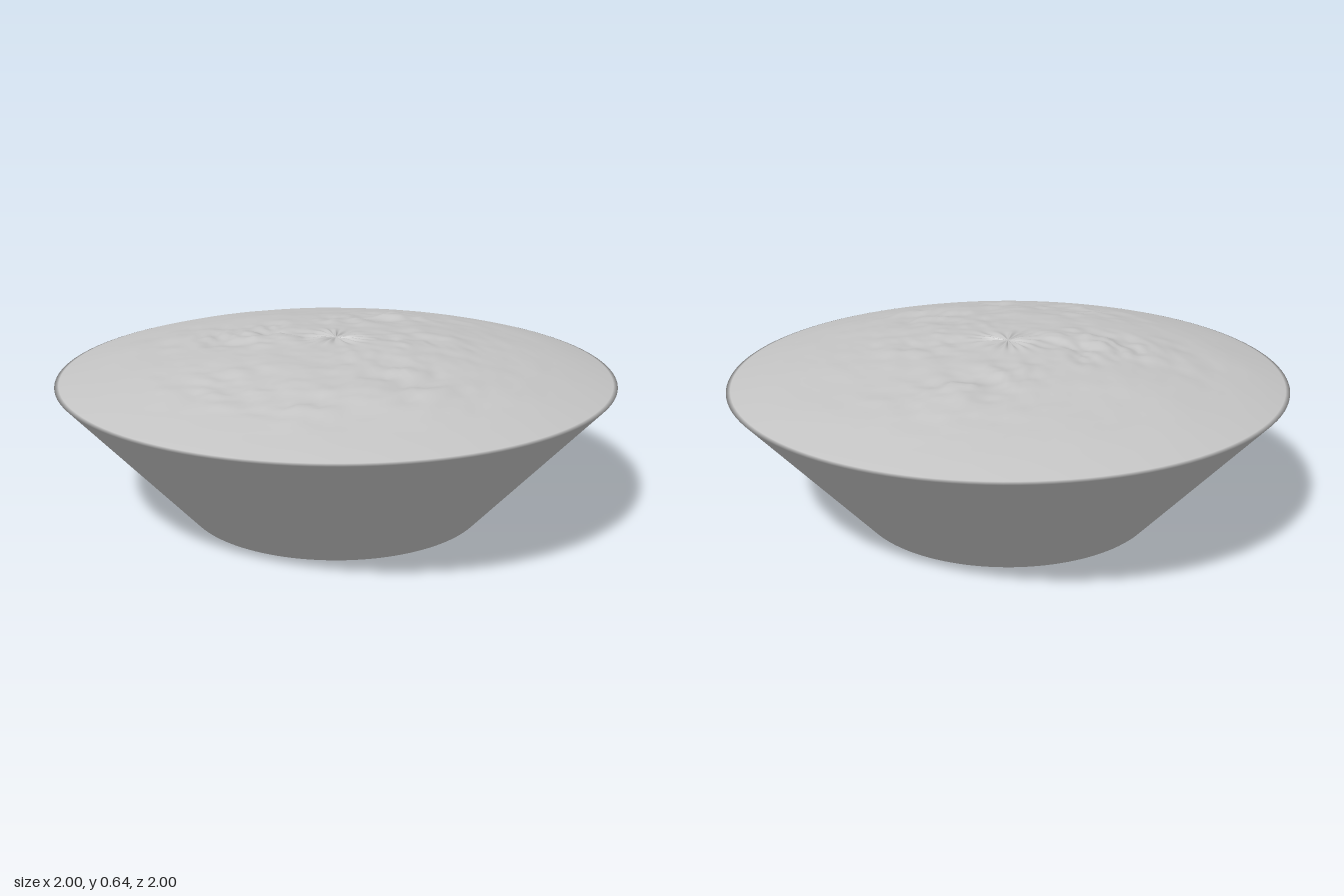
import * as THREE from 'three';

const SEGMENTS = 128;
const DOME_RINGS = 64;

// Smooth value noise on a hashed lattice
function hash(i, j) {
  const s = Math.sin(i * 127.1 + j * 311.7) * 43758.5453;
  return s - Math.floor(s);
}
function noise(x, z) {
  const i = Math.floor(x), j = Math.floor(z);
  const fade = t => t * t * (3 - 2 * t);
  const u = fade(x - i), v = fade(z - j);
  const a = THREE.MathUtils.lerp(hash(i, j), hash(i + 1, j), u);
  const b = THREE.MathUtils.lerp(hash(i, j + 1), hash(i + 1, j + 1), u);
  return THREE.MathUtils.lerp(a, b, v) * 2 - 1;
}

// Rough patches of the crust: x, z, radius, strength
const PATCHES = [
  [-0.24, 0.06, 0.13, 1.0], [-0.42, 0.1, 0.14, 0.6], [-0.3, -0.08, 0.1, 0.5],
  [-0.08, -0.33, 0.12, 0.6], [0.02, -0.53, 0.18, 0.7], [0.3, -0.1, 0.16, 0.5],
  [0.2, 0.66, 0.16, 0.7], [-0.12, 0.6, 0.18, 0.6], [0.45, 0.35, 0.2, 0.6],
  [0.2, 0.25, 0.15, 0.4], [-0.6, 0.1, 0.15, 0.3],
];

// Height of the lumpy dome at polar position r, angle
function domeHeight(r, angle) {
  const x = r * Math.cos(angle), z = r * Math.sin(angle);
  const base = 0.5 + 0.075 * (1 - r * r) + 0.05 * (1 - Math.pow(r, 3));
  const fadeOut = 1 - THREE.MathUtils.smoothstep(r, 0.65, 0.98);
  let rough = 0.12;
  for (const [px, pz, radius, strength] of PATCHES) {
    rough += strength * Math.exp(-((x - px) ** 2 + (z - pz) ** 2) / (radius * radius));
  }
  const lumps = noise(x * 15, z * 15) * 0.65 + noise(x * 30 + 9, z * 30 + 4) * 0.35;
  // Fine pleats that radiate from the centre
  const pleats = 0.004 * Math.sin(angle * 15 + 2 * Math.sin(angle * 3))
    * Math.exp(-((r - 0.06) ** 2) / 0.004) * Math.min(1, r / 0.04);
  return base + fadeOut * (0.02 * rough * lumps + 0.005 * noise(x * 4 + 3, z * 4)) + pleats;
}

// One continuous skin: foot ring, rim ring, then dome rings to the apex
function skinGeometry() {
  const positions = [], indices = [];
  const addRing = (r, height) => {
    for (let j = 0; j < SEGMENTS; j++) {
      const a = (j / SEGMENTS) * Math.PI * 2;
      positions.push(r * Math.cos(a), height(a), r * Math.sin(a));
    }
  };
  addRing(0.55, () => 0);
  addRing(1, () => 0.5);
  for (let i = 1; i < DOME_RINGS; i++) {
    const r = 1 - i / DOME_RINGS;
    addRing(r, a => domeHeight(r, a));
  }
  const apex = positions.length / 3;
  positions.push(0, domeHeight(0, 0), 0);

  for (let i = 0; i < DOME_RINGS; i++) {
    for (let j = 0; j < SEGMENTS; j++) {
      const k = (j + 1) % SEGMENTS;
      const a = i * SEGMENTS + j, b = a + SEGMENTS;
      const c = i * SEGMENTS + k, d = c + SEGMENTS;
      indices.push(a, b, c, c, b, d);
    }
  }
  for (let j = 0; j < SEGMENTS; j++) {
    const start = DOME_RINGS * SEGMENTS;
    indices.push(start + j, apex, start + (j + 1) % SEGMENTS);
  }
  const geometry = new THREE.BufferGeometry();
  geometry.setAttribute('position', new THREE.Float32BufferAttribute(positions, 3));
  geometry.setIndex(indices);
  geometry.computeVertexNormals();
  return geometry;
}

export function createModel() {
  const model = new THREE.Group();
  model.name = 'filledBowl';
  const grey = new THREE.MeshStandardMaterial({ color: 0xc4c4c4, side: THREE.DoubleSide });
  grey.name = 'light grey';
  // Flared wall, open underneath, with a lumpy domed top
  const skin = new THREE.Mesh(skinGeometry(), grey);
  skin.name = 'bowlWallAndLumpyTop';
  model.add(skin);
  return model;
}
